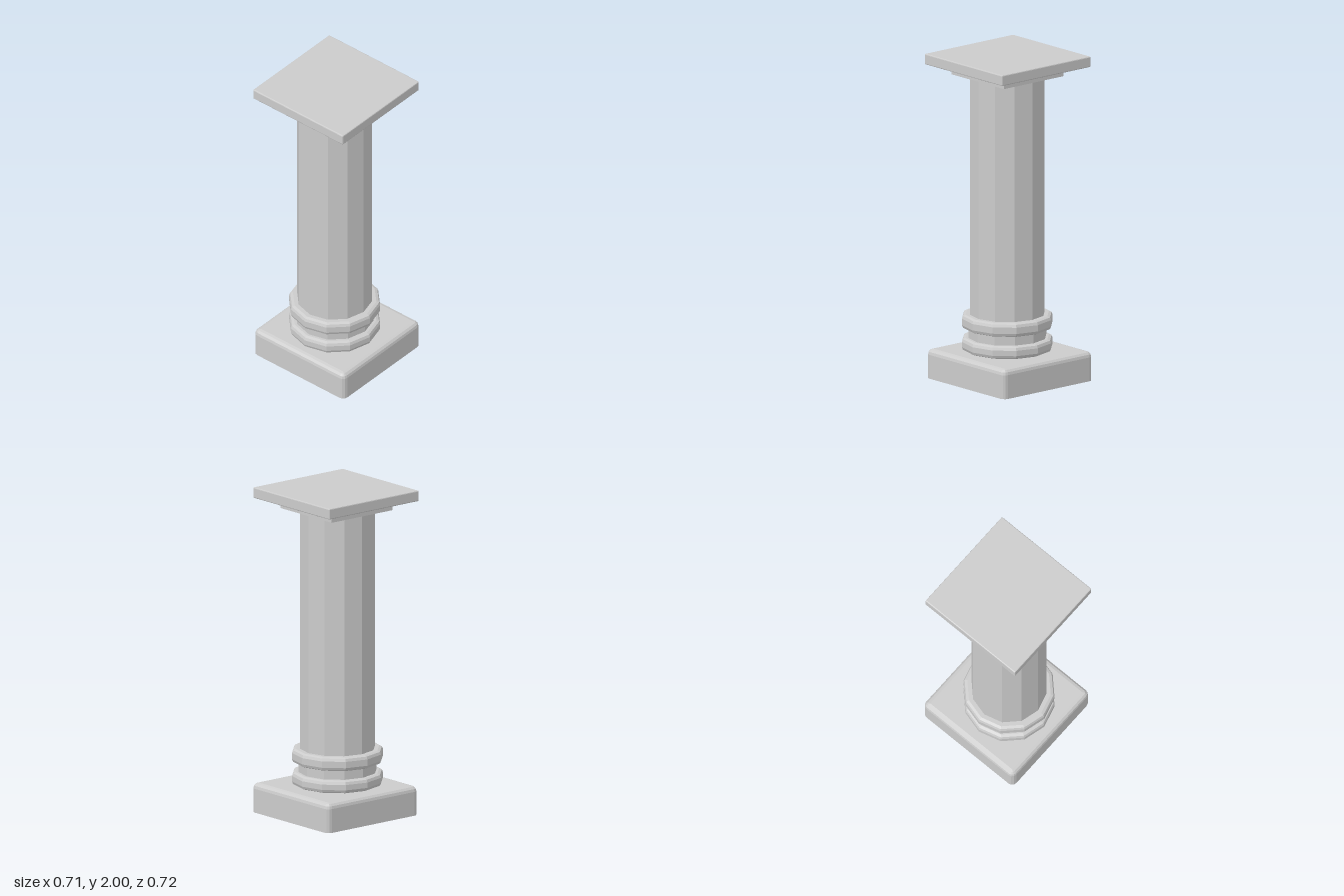
import * as THREE from 'three';
import { ConvexGeometry } from 'three/addons/geometries/ConvexGeometry.js';

const material = new THREE.MeshStandardMaterial({ color: 0xcccccc, flatShading: true });
const SIDES = 12;

// Square slab with rounded vertical corners and a rounded top edge (bottom edge optional)
function roundedSlab(half, y0, y1, r, steps, roundBottom) {
  const points = [];
  const addRing = (y, radius) => {
    for (let corner = 0; corner < 4; corner++) {
      const start = corner * Math.PI / 2;
      const mid = start + Math.PI / 4;
      const cx = Math.sign(Math.cos(mid)) * (half - r);
      const cz = Math.sign(Math.sin(mid)) * (half - r);
      for (let i = 0; i <= steps; i++) {
        const a = start + (i / steps) * Math.PI / 2;
        points.push(new THREE.Vector3(cx + radius * Math.cos(a), y, cz + radius * Math.sin(a)));
      }
    }
  };
  for (let i = 0; i <= steps; i++) {
    const a = (i / steps) * Math.PI / 2;
    addRing(y1 - r + r * Math.sin(a), r * Math.cos(a));
    if (roundBottom) addRing(y0 + r - r * Math.sin(a), r * Math.cos(a));
  }
  if (!roundBottom) addRing(y0, r);
  return new ConvexGeometry(points);
}

// Twelve-sided ring moulding with rounded rims, closed to the axis
function ringMoulding(radius, y0, y1, r) {
  const profile = [new THREE.Vector2(0, y0)];
  for (const [cy, from] of [[y0 + r, -Math.PI / 2], [y1 - r, 0]]) {
    for (let i = 0; i <= 2; i++) {
      const a = from + i * Math.PI / 4;
      profile.push(new THREE.Vector2(radius - r + r * Math.cos(a), cy + r * Math.sin(a)));
    }
  }
  profile.push(new THREE.Vector2(0, y1));
  return new THREE.LatheGeometry(profile, SIDES);
}

export function createModel() {
  const column = new THREE.Group();
  column.name = 'column';
  const add = (name, geometry, x, y, z) => {
    const mesh = new THREE.Mesh(geometry, material);
    mesh.name = name;
    mesh.position.set(x, y, z);
    column.add(mesh);
  };
  const drum = (radius, y0, y1) => new THREE.CylinderGeometry(radius, radius, y1 - y0, SIDES)
    .translate(0, (y0 + y1) / 2, 0);

  // Plinth
  add('plinth', roundedSlab(0.356, 0, 0.18, 0.033, 3, false), -0.002, 0, -0.004);

  // Base mouldings around a narrow neck
  add('neck', drum(0.238, 0.17, 0.35), -0.002, 0, 0.017);
  add('lowerRing', ringMoulding(0.277, 0.183, 0.262, 0.023), -0.002, 0, 0.017);
  add('upperRing', ringMoulding(0.277, 0.32, 0.405, 0.023), -0.002, 0, 0.017);

  // Shaft
  add('shaft', drum(0.228, 0.35, 1.88), -0.002, 0, 0.017);

  // Capital: small block under a wide slab
  add('capitalBlock', new THREE.BoxGeometry(0.476, 0.065, 0.476), 0.001, 1.9075, 0.0105);
  add('capitalSlab', roundedSlab(0.353, 1.934, 2, 0.006, 2, true), 0.002, 0, 0.009);

  return column;
}
